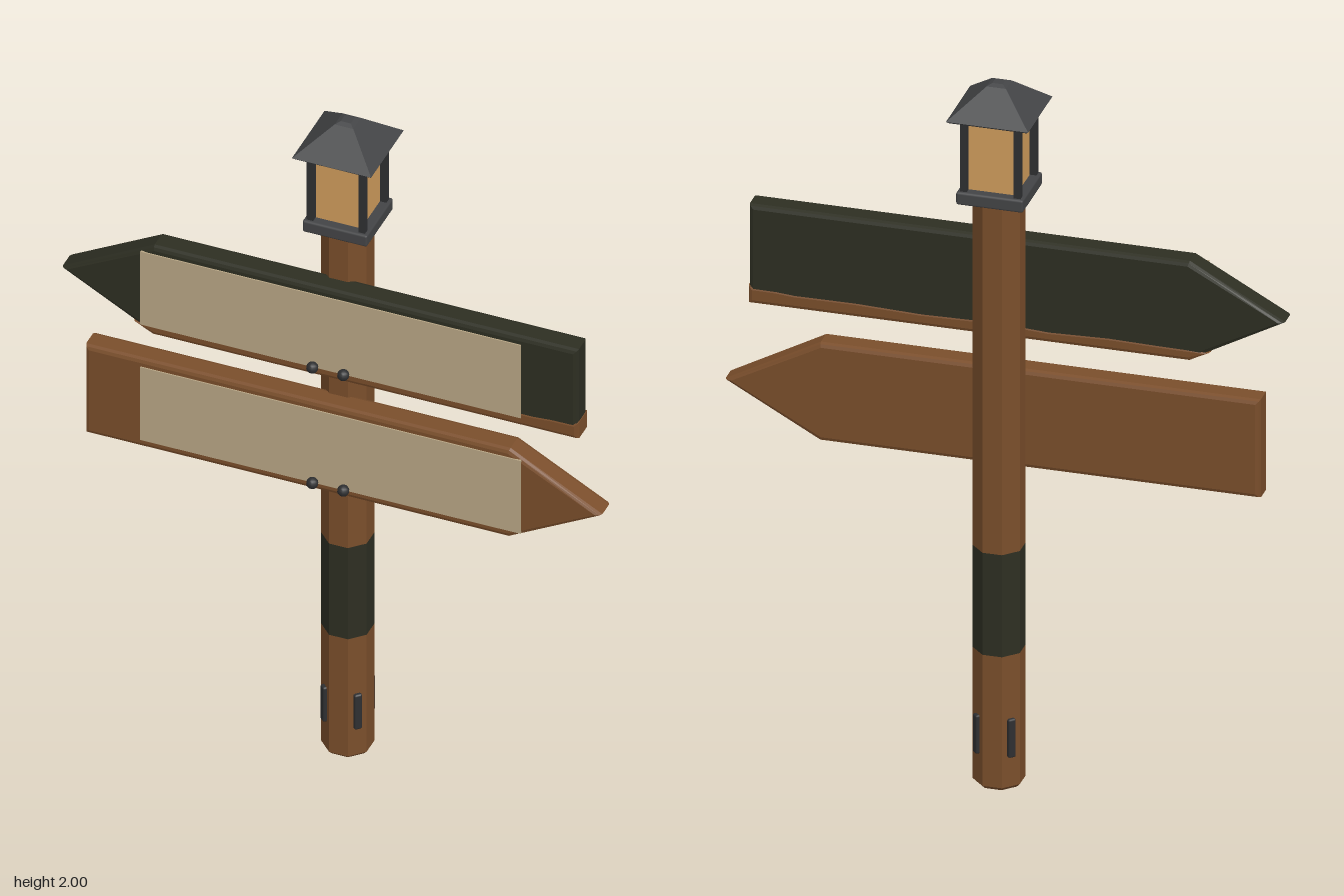
import * as THREE from 'three';
import { RoundedBoxGeometry } from 'three/addons/geometries/RoundedBoxGeometry.js';

const POST_Z = -0.021;

export function createModel() {
  const model = new THREE.Group();
  model.name = 'signpost';

  const material = (name, color) => {
    const m = new THREE.MeshStandardMaterial({ color });
    m.name = name;
    return m;
  };
  const wood = material('brown wood', 0x7a4e2b);
  const paint = material('dark green paint', 0x2d2e22);
  const panelMat = material('pale panel', 0xb8a685);
  const metal = material('dark metal', 0x434446);
  const iron = material('black iron', 0x2e2f31);
  const glow = material('amber glass', 0xcf9c5c);

  const add = (parent, name, geometry, mat, x = 0, y = 0, z = 0) => {
    const mesh = new THREE.Mesh(geometry, mat);
    mesh.name = name;
    mesh.position.set(x, y, z);
    parent.add(mesh);
    return mesh;
  };
  const faceted = (geometry) => {
    const g = geometry.index ? geometry.toNonIndexed() : geometry;
    g.computeVertexNormals();
    return g;
  };

  // Eight-sided post in three coloured lengths, chamfered at the foot
  const R = 0.063 / Math.cos(Math.PI / 8);
  const postPart = (name, profile, mat) => {
    const points = profile.map(([r, y]) => new THREE.Vector2(r, y));
    const g = new THREE.LatheGeometry(points, 8, Math.PI / 8);
    add(model, name, faceted(g), mat, 0, 0, POST_Z);
  };
  postPart('postFoot', [[0, 0], [R - 0.01, 0], [R, 0.01], [R, 0.385]], wood);
  postPart('postBand', [[R, 0.385], [R, 0.677]], paint);
  postPart('postUpper', [[R, 0.677], [R, 1.68], [0, 1.68]], wood);

  // Four upright cleats around the foot
  for (let i = 0; i < 4; i++) {
    const a = Math.PI / 4 + i * Math.PI / 2;
    const cleat = add(model, 'cleat', new RoundedBoxGeometry(0.022, 0.11, 0.018, 1, 0.005), iron,
      Math.sin(a) * 0.064, 0.15, POST_Z + Math.cos(a) * 0.064);
    cleat.rotation.y = a;
  }

  // Bevelled slab from an outline, spanning z0 to z1
  const slab = (outline, z0, z1, bevel) => {
    const shape = new THREE.Shape(outline.map(([x, y]) => new THREE.Vector2(x, y)));
    const g = new THREE.ExtrudeGeometry(shape, {
      depth: z1 - z0 - 2 * bevel, bevelEnabled: true, bevelThickness: bevel,
      bevelSize: bevel, bevelOffset: -bevel, bevelSegments: 2,
    });
    return g.translate(0, 0, z0 + bevel);
  };

  // Arrow boards: side gives the direction of the point
  const arrowBoard = (name, side, y, mat) => {
    const board = new THREE.Group();
    board.name = name;
    board.position.y = y;
    model.add(board);
    const outline = [[-0.684, -0.14], [0.494, -0.14], [0.749, 0], [0.494, 0.14], [-0.684, 0.14]]
      .map(([x, v]) => [x * side, v]);
    add(board, 'board', slab(outline, 0.024, 0.093, 0.012), mat);
    add(board, 'panel', new THREE.BoxGeometry(1.056, 0.233, 0.006), panelMat, 0, 0.001, 0.0935);
    for (const x of [-0.043, 0.043]) {
      add(board, 'bolt', new THREE.SphereGeometry(0.016, 10, 8), iron, x, -0.103, 0.114);
    }
    return board;
  };
  const upper = arrowBoard('upperBoard', -1, 1.389, paint);
  arrowBoard('lowerBoard', 1, 1.019, wood);

  // Bare wood strip with a wavy edge along the bottom of the painted board
  const strip = [[-0.495, -0.142], [0.686, -0.142], [0.686, -0.091], [0.61, -0.092], [0.56, -0.096],
    [0.4, -0.095], [0.22, -0.101], [0.02, -0.097], [-0.12, -0.105], [-0.28, -0.1],
    [-0.42, -0.103], [-0.55, -0.112]];
  add(upper, 'bareWoodStrip', slab(strip, 0.0225, 0.0945, 0.011), wood);

  // Lantern on top of the post
  const lantern = new THREE.Group();
  lantern.name = 'lantern';
  lantern.position.z = POST_Z;
  model.add(lantern);
  add(lantern, 'lanternBase', new RoundedBoxGeometry(0.18, 0.036, 0.18, 1, 0.006), metal, 0, 1.694, 0);
  add(lantern, 'lanternGlass', new THREE.BoxGeometry(0.126, 0.195, 0.126), glow, 0, 1.8075, 0);
  for (const x of [-1, 1]) {
    for (const z of [-1, 1]) {
      add(lantern, 'lanternCorner', new THREE.BoxGeometry(0.018, 0.215, 0.018), iron,
        x * 0.072, 1.815, z * 0.072);
    }
  }

  // Four-sided roof with a small blunt tip
  const roofProfile = [[0, 1.915], [0.105, 1.915], [0.11, 1.92], [0.026, 1.994], [0.014, 2], [0, 2]]
    .map(([r, y]) => new THREE.Vector2(r * Math.SQRT2, y));
  add(lantern, 'lanternRoof', faceted(new THREE.LatheGeometry(roofProfile, 4, Math.PI / 4)), metal);

  return model;
}
